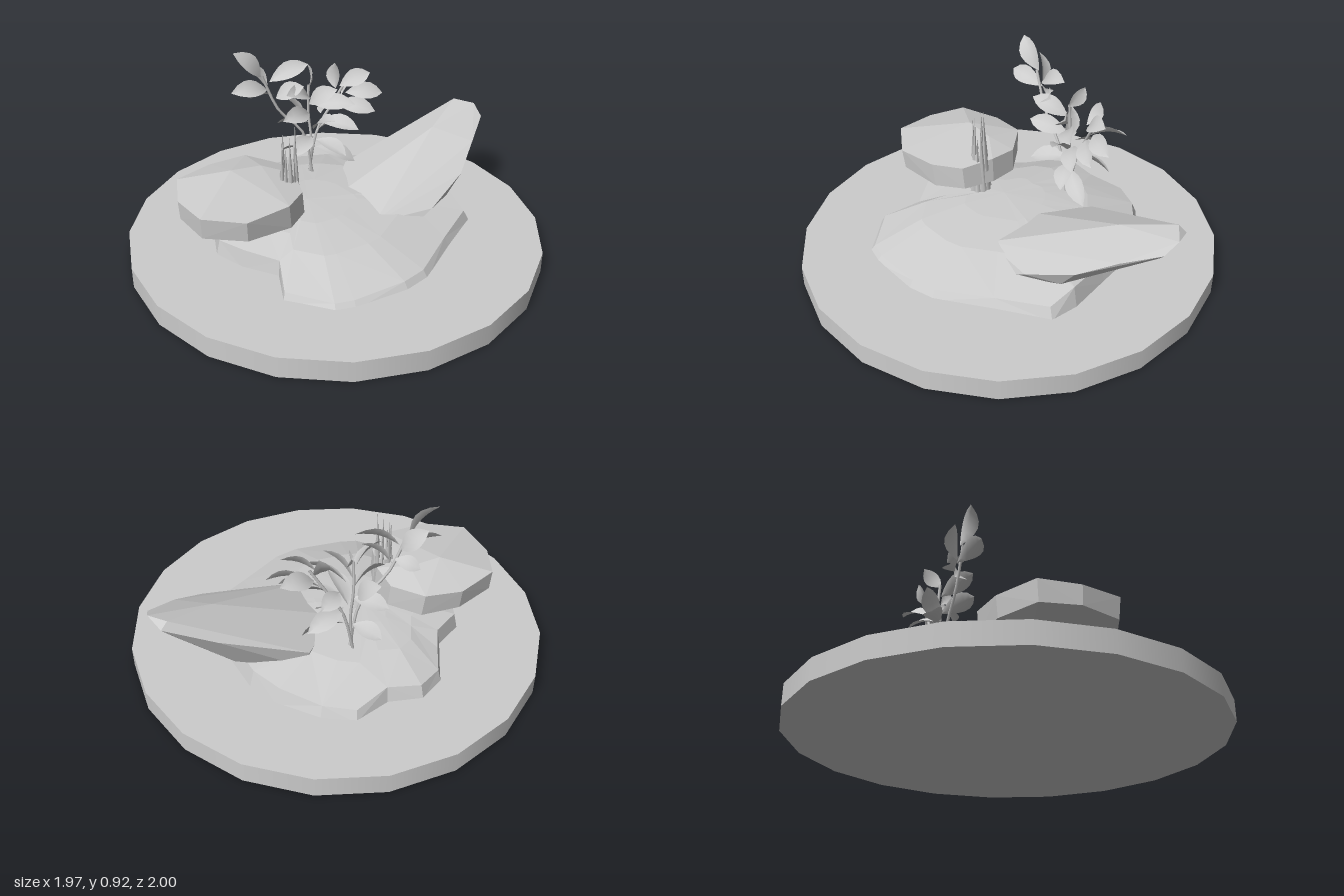
import * as THREE from 'three';
import { ConvexGeometry } from 'three/addons/geometries/ConvexGeometry.js';

const V = (x, y, z) => new THREE.Vector3(x, y, z);

export function createModel() {
  const model = new THREE.Group();
  const grey = new THREE.MeshStandardMaterial({ color: 0xcccccc, side: THREE.DoubleSide });
  grey.name = 'stone grey';

  const add = (name, geometry, parent = model) => {
    const mesh = new THREE.Mesh(geometry, grey);
    mesh.name = name;
    parent.add(mesh);
    return mesh;
  };

  // Round display base, slightly narrower in x
  const base = add('base', new THREE.CylinderGeometry(1, 1, 0.1, 20));
  base.scale.x = 0.985;
  base.position.y = 0.05;

  // Low rock mound: outline [x, z, rim height] lofted inward to a crown
  const outline = [
    [-0.41, -0.38, 0.16], [-0.37, -0.52, 0.15], [-0.26, -0.61, 0.16], [-0.1, -0.6, 0.17],
    [0.06, -0.68, 0.14], [0.21, -0.63, 0.15], [0.38, -0.5, 0.17], [0.48, -0.37, 0.18],
    [0.55, -0.15, 0.18], [0.62, 0.06, 0.19], [0.63, 0.2, 0.15], [0.43, 0.37, 0.14],
    [0.22, 0.56, 0.13], [0.1, 0.61, 0.13], [-0.16, 0.64, 0.12], [-0.25, 0.63, 0.12],
    [-0.43, 0.48, 0.13], [-0.39, 0.3, 0.17], [-0.52, 0.17, 0.18], [-0.6, 0.03, 0.17],
    [-0.56, -0.18, 0.18], [-0.44, -0.28, 0.18],
  ];
  const crown = V(-0.12, 0.245, -0.05);
  const rings = [[1, 0], [0.96, 0.001], [0.62, 0.68], [0.3, 0.93]].map(([s, rise], k) =>
    outline.map(([x, z, rim]) => V(
      crown.x + (x - crown.x) * s,
      k === 0 ? 0.09 : rim + (crown.y - rim) * rise,
      crown.z + (z - crown.z) * s)));
  const tris = [];
  const n = outline.length;
  for (let i = 0; i < n; i++) {
    const j = (i + 1) % n;
    for (let k = 0; k < rings.length - 1; k++) {
      const [lo, hi] = [rings[k], rings[k + 1]];
      if ((i + k) % 2) tris.push(lo[i], hi[i], lo[j], lo[j], hi[i], hi[j]);
      else tris.push(lo[i], hi[j], lo[j], lo[i], hi[i], hi[j]);
    }
    const top = rings[rings.length - 1];
    tris.push(top[i], crown, top[j]);
  }
  const mound = new THREE.BufferGeometry().setFromPoints(tris);
  mound.computeVertexNormals();
  add('rockMound', mound);

  // Long slab leaning up and out to the left
  add('leaningSlab', new ConvexGeometry([
    V(0.12, 0.2, 0.2), V(0.02, 0.2, -0.08), V(0.2, 0.23, -0.35), V(0.6, 0.38, -0.365),
    V(0.6, 0.44, -0.17), V(0.8, 0.5, -0.32), V(0.88, 0.49, -0.25), V(0.88, 0.45, -0.17),
    V(0.83, 0.47, -0.34), V(0.76, 0.39, -0.04), V(0.63, 0.3, 0.09), V(0.42, 0.21, 0.2),
    V(0.55, 0.2, 0.1), V(0.53, 0.2, -0.3), V(0.79, 0.35, -0.24),
    V(0.25, 0.12, 0.24), V(0.2, 0.12, -0.33),
  ]));

  // Flat overhanging boulder on the right
  const rim = [
    [-0.75, 0.0], [-0.71, -0.18], [-0.53, -0.28], [-0.35, -0.29], [-0.22, -0.17],
    [-0.19, -0.03], [-0.21, 0.13], [-0.31, 0.24], [-0.52, 0.29], [-0.7, 0.2],
  ];
  const boulder = [V(-0.48, 0.46, -0.08), V(-0.33, 0.445, -0.1), V(-0.33, 0.27, 0.05), V(-0.42, 0.275, -0.08)];
  rim.forEach(([x, z], i) => {
    boulder.push(V(x, i % 2 ? 0.41 : 0.4, z));
    boulder.push(V(x + (x > -0.4 ? 0.01 : 0.005), 0.31 - (x + 0.75) * 0.04, z * 0.96));
  });
  add('overhangingBoulder', new ConvexGeometry(boulder));

  // Splintered trunk: a short core ringed by jagged shards
  const stump = new THREE.Group();
  stump.name = 'splinteredTrunk';
  stump.position.set(-0.235, 0.22, 0.015);
  model.add(stump);
  const core = add('trunkCore', new THREE.CylinderGeometry(0.035, 0.052, 0.22, 9), stump);
  core.position.y = 0.11;
  const shardHeights = [0.42, 0.31, 0.38, 0.47, 0.34, 0.43, 0.28, 0.4, 0.36];
  shardHeights.forEach((h, i) => {
    const a = (i / shardHeights.length) * Math.PI * 2;
    const shard = new THREE.ConeGeometry(0.022, h, 5);
    shard.translate(0, h / 2, 0);
    const mesh = add('trunkShard', shard, stump);
    mesh.position.set(Math.sin(a) * 0.036, 0, Math.cos(a) * 0.036);
    mesh.rotation.set(-Math.cos(a) * 0.03, a, Math.sin(a) * 0.03);
  });

  // Plant stems
  const plant = new THREE.Group();
  plant.name = 'plant';
  model.add(plant);
  const stems = [
    [V(0, 0.2, -0.34), V(0.01, 0.4, -0.34), V(0, 0.55, -0.35), V(0, 0.7, -0.34)],
    [V(0.01, 0.22, -0.33), V(-0.04, 0.46, -0.32), V(-0.16, 0.6, -0.32), V(-0.24, 0.79, -0.32)],
    [V(0, 0.22, -0.35), V(0.05, 0.44, -0.36), V(0.13, 0.58, -0.35), V(0.19, 0.68, -0.34)],
  ];
  for (const points of stems) {
    add('stem', new THREE.TubeGeometry(new THREE.CatmullRomCurve3(points), 10, 0.007, 5), plant);
  }

  // Unit leaf along +y, bowed and folded along its midrib
  const leaf = new THREE.PlaneGeometry(1, 1, 2, 6);
  const pos = leaf.attributes.position;
  for (let i = 0; i < pos.count; i++) {
    const t = pos.getY(i) + 0.5;
    const w = Math.pow(Math.sin(Math.PI * Math.pow(t, 1.15)), 0.8) || 0;
    const x = pos.getX(i) * w;
    pos.setXYZ(i, x, t, Math.sin(Math.PI * t) * 0.1 + Math.abs(x) * 0.18);
  }
  leaf.computeVertexNormals();

  // Leaves: [base x, base y, tip x, tip y, tip z offset]
  const leaves = [
    [-0.24, 0.78, -0.37, 0.92, 0.0], [-0.21, 0.72, -0.31, 0.84, -0.05],
    [-0.2, 0.75, -0.01, 0.82, 0.02], [-0.21, 0.71, -0.4, 0.74, 0.04],
    [-0.18, 0.68, -0.28, 0.65, -0.06], [-0.17, 0.66, -0.05, 0.73, 0.07],
    [0, 0.69, 0.02, 0.78, -0.08], [0, 0.64, -0.15, 0.71, 0.1],
    [0.14, 0.66, 0.16, 0.77, -0.06], [0.16, 0.67, 0.31, 0.73, 0.03],
    [0.19, 0.63, 0.37, 0.62, 0.05], [0.17, 0.62, 0.33, 0.67, -0.08],
    [0.14, 0.58, 0.31, 0.55, 0.1], [0.03, 0.59, 0.19, 0.62, 0.13],
    [0, 0.55, -0.17, 0.58, 0.1], [0, 0.5, -0.14, 0.48, -0.09],
    [0.05, 0.5, 0.21, 0.48, 0.13], [0.04, 0.45, 0.22, 0.41, -0.09],
    [0.01, 0.42, -0.13, 0.39, 0.12], [0.03, 0.36, 0.22, 0.27, 0.06],
    [0, 0.35, -0.11, 0.32, -0.1], [0, 0.6, 0.11, 0.7, 0.1],
    [0.02, 0.46, 0.08, 0.56, 0.15], [-0.02, 0.5, -0.1, 0.62, -0.1],
    [0.03, 0.4, 0.14, 0.35, 0.14], [0.06, 0.54, 0.16, 0.53, -0.1],
  ];
  leaves.forEach(([x0, y0, x1, y1, dz], i) => {
    const root = V(x0, y0, -0.335);
    const along = V(x1, y1, -0.335 + dz).sub(root);
    const length = along.length();
    along.normalize();
    const facing = V(0.35 * Math.sin(i * 2.4), 0.75, dz < 0 ? -0.6 : 0.7);
    const side = along.clone().cross(facing).normalize();
    const normal = side.clone().cross(along);
    const mesh = add('leaf', leaf, plant);
    mesh.quaternion.setFromRotationMatrix(new THREE.Matrix4().makeBasis(side, along, normal));
    mesh.position.copy(root);
    mesh.scale.set(Math.min(0.09, length * 0.6), length, length);
  });

  return model;
}
